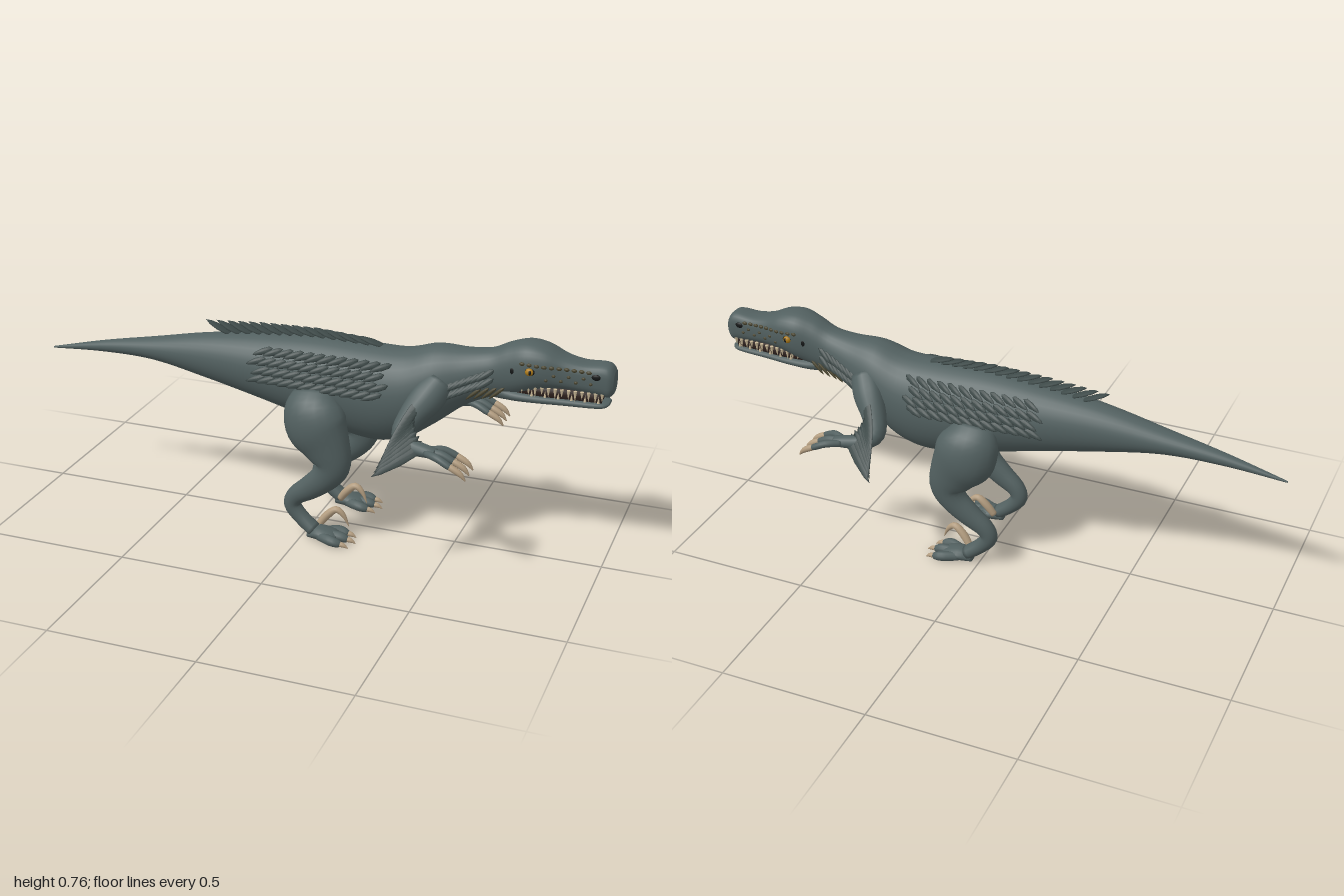
import * as THREE from 'three';
import { mergeGeometries } from 'three/addons/utils/BufferGeometryUtils.js';

const mat = (name, color, side = THREE.FrontSide) => {
  const m = new THREE.MeshStandardMaterial({ color, side });
  m.name = name;
  return m;
};
const V = (x, y, z) => new THREE.Vector3(x, y, z);

// Catmull-Rom subdivision of rows of numbers
function smoothRows(rows, steps) {
  const out = [];
  for (let i = 0; i < rows.length - 1; i++) {
    const at = k => rows[Math.max(0, Math.min(rows.length - 1, k))];
    for (let s = 0; s < steps; s++) {
      const t = s / steps;
      out.push(rows[i].map((b, k) => {
        const a = at(i - 1)[k], c = at(i + 1)[k], d = at(i + 2)[k];
        return b + 0.5 * t * (c - a + t * (2 * a - 5 * b + 4 * c - d + t * (3 * (b - c) + d - a)));
      }));
    }
  }
  out.push(rows[rows.length - 1]);
  return out;
}

// Skin over rows [x, y, z, depth, width, squareness]; upright keeps the rings vertical
function loft(rows, { steps = 4, sides = 16, upright = false } = {}) {
  const rings = smoothRows(rows.map(r => [r[0], r[1], r[2], r[3], r[4] ?? r[3], r[5] ?? 2]), steps);
  const pos = [], idx = [], n = rings.length;
  const c = rings.map(r => V(r[0], r[1], r[2]));
  rings.forEach((r, i) => {
    const t = upright ? V(1, 0, 0) : c[Math.min(n - 1, i + 1)].clone().sub(c[Math.max(0, i - 1)]).normalize();
    const side = V(0, 0, 1).addScaledVector(t, -t.z).normalize();
    const up = side.clone().cross(t);
    for (let j = 0; j < sides; j++) {
      const a = j / sides * Math.PI * 2;
      const pw = v => Math.sign(v) * Math.abs(v) ** (2 / r[5]);
      const p = c[i].clone().addScaledVector(up, r[3] * pw(Math.sin(a))).addScaledVector(side, r[4] * pw(Math.cos(a)));
      pos.push(p.x, p.y, p.z);
      if (i < n - 1) {
        const k = (j + 1) % sides, A = i * sides, B = A + sides;
        idx.push(A + j, B + j, A + k, B + j, B + k, A + k);
      }
    }
  });
  pos.push(...c[0].toArray(), ...c[n - 1].toArray());
  for (let j = 0; j < sides; j++) {
    const k = (j + 1) % sides, L = (n - 1) * sides;
    idx.push(n * sides, j, k, n * sides + 1, L + k, L + j);
  }
  const g = new THREE.BufferGeometry();
  g.setAttribute('position', new THREE.Float32BufferAttribute(pos, 3));
  g.setIndex(idx);
  g.computeVertexNormals();
  return g;
}

// Flat tapering leaf from base to tip, its face turned toward normal
function feather(base, tip, width, normal, thick = 0.004) {
  const g = new THREE.SphereGeometry(1, 8, 6);
  const d = tip.clone().sub(base), len = d.length();
  const p = g.attributes.position;
  for (let i = 0; i < p.count; i++) p.setZ(i, p.getZ(i) * (1 - 0.35 * p.getX(i)));
  g.scale(len / 2, thick, width / 2);
  g.computeVertexNormals();
  const x = d.normalize(), z = x.clone().cross(normal).normalize(), y = z.clone().cross(x);
  g.applyMatrix4(new THREE.Matrix4().makeBasis(x, y, z).setPosition(base.clone().add(tip).multiplyScalar(0.5)));
  return g;
}

function ball(x, y, z, rx, ry, rz) {
  return new THREE.SphereGeometry(1, 12, 8).scale(rx, ry, rz).translate(x, y, z);
}

// Trunk stations: x, top, bottom, half width, squareness
const TRUNK = [
  [-1, 0.503, 0.497, 0.003, 2], [-0.8, 0.552, 0.512, 0.022, 2], [-0.6, 0.592, 0.511, 0.045, 2],
  [-0.4, 0.633, 0.475, 0.07, 2], [-0.2, 0.66, 0.432, 0.096, 2], [0, 0.678, 0.385, 0.118, 2],
  [0.2, 0.676, 0.345, 0.126, 2], [0.32, 0.678, 0.365, 0.122, 2], [0.42, 0.705, 0.43, 0.108, 2],
  [0.52, 0.706, 0.51, 0.08, 2], [0.6, 0.716, 0.55, 0.064, 2.1], [0.66, 0.744, 0.567, 0.066, 2.2],
  [0.72, 0.76, 0.59, 0.075, 2.4], [0.78, 0.752, 0.61, 0.071, 2.5], [0.84, 0.725, 0.618, 0.057, 2.8],
  [0.9, 0.713, 0.617, 0.05, 3], [0.96, 0.716, 0.612, 0.047, 3], [0.985, 0.71, 0.608, 0.044, 3],
  [0.999, 0.692, 0.622, 0.034, 2.6]];
const upright = rows => rows.map(([x, t, b, w, e]) => [x, (t + b) / 2, 0, (t - b) / 2, w, e]);

// Point on the trunk's side at a given x and y
function onTrunk(x, y, s) {
  let i = 0;
  while (i < TRUNK.length - 2 && TRUNK[i + 1][0] < x) i++;
  const a = TRUNK[i], b = TRUNK[i + 1], f = (x - a[0]) / (b[0] - a[0]);
  const [, t, bo, w, e] = a.map((v, k) => v + (b[k] - v) * f);
  const u = Math.min(1, Math.abs(2 * y - t - bo) / (t - bo));
  return V(x, y, s * w * (1 - u ** e) ** (1 / e));
}
const trunkTop = x => {
  const i = Math.max(1, TRUNK.findIndex(r => r[0] > x)), a = TRUNK[i - 1], b = TRUNK[i];
  return a[1] + (b[1] - a[1]) * (x - a[0]) / (b[0] - a[0]);
};

export function createModel() {
  const group = new THREE.Group();
  const skin = mat('slate skin', 0x526060);
  const plume = mat('dark plumage', 0x3e4a49, THREE.DoubleSide);
  const olive = mat('olive scales', 0x4a452f);
  const horn = mat('tan horn', 0xb39d80);
  const ivory = mat('ivory teeth', 0xc9b897);
  const amber = mat('amber eye', 0xb07d1a);
  const black = mat('black', 0x141616);
  const mouth = mat('mouth lining', 0x2e211d);
  const add = (name, geo, material) => {
    const m = new THREE.Mesh(Array.isArray(geo) ? mergeGeometries(geo) : geo, material);
    m.name = name;
    group.add(m);
  };

  add('body', loft(upright(TRUNK), { steps: 5, sides: 32, upright: true }), skin);
  add('lowerJaw', loft(upright([[0.62, 0.62, 0.553, 0.045, 2], [0.68, 0.602, 0.558, 0.058, 2.4],
    [0.76, 0.597, 0.562, 0.058, 2.6], [0.85, 0.595, 0.565, 0.05, 2.6], [0.94, 0.594, 0.568, 0.045, 2.6],
    [0.975, 0.593, 0.572, 0.038, 2.4], [0.988, 0.59, 0.58, 0.022, 2]]), { sides: 20, upright: true }), skin);
  add('mouthLining', loft(upright([[0.66, 0.63, 0.58, 0.045, 3], [0.78, 0.63, 0.58, 0.048, 3],
    [0.88, 0.63, 0.58, 0.039, 3], [0.965, 0.625, 0.58, 0.034, 3]]), { upright: true }), mouth);

  // Feathers along the spine
  const spine = [];
  for (let i = 0; i < 15; i++) {
    const x = 0.24 - i * 0.039, lift = 0.018 + i * 0.0022;
    spine.push(feather(V(x, trunkTop(x) - 0.006, 0), V(x - 0.095, trunkTop(x - 0.09) + lift, 0), 0.042, V(0, 1, 0), 0.006));
  }
  add('spineFeathers', spine, plume);

  for (const s of [1, -1]) {
    const side = s > 0 ? 'left' : 'right';

    // Flank feathers in staggered rows
    const flank = [];
    for (let r = 0; r < 4; r++) for (let i = 0; i < 12; i++) {
      const x = 0.29 - i * 0.038 - (r % 2) * 0.018, y = 0.643 - r * 0.03 - Math.max(0, -x) * 0.04;
      const tip = onTrunk(x - 0.066, y - 0.022, s);
      tip.z += s * 0.016;
      flank.push(feather(onTrunk(x, y, s), tip, 0.022, V(0, 0.4, s), 0.005));
    }
    add(side + 'FlankFeathers', flank, plume);

    // Neck ruff and throat quills
    const ruff = [], quills = [];
    for (let i = 0; i < 8; i++) {
      for (let r = 0; r < 2; r++) {
        const b = onTrunk(0.625 - i * 0.02, 0.667 - i * 0.009 - r * 0.028, s);
        ruff.push(feather(b, V(b.x - 0.055, b.y - 0.04, b.z + s * 0.022), 0.02, V(0, 0.3, s), 0.005));
      }
      if (i < 4) {
        const q = onTrunk(0.66 - i * 0.025, 0.61 - i * 0.004, s);
        quills.push(feather(q, V(q.x - 0.05, q.y - 0.045, q.z + s * 0.004), 0.012, V(0, 0, s)));
      }
    }
    add(side + 'NeckFeathers', ruff, plume);
    add(side + 'ThroatQuills', quills, olive);

    // Leg, foot and toes
    add(side + 'Leg', loft([[0.03, 0.52, 0.1, 0.07, 0.04], [0.035, 0.47, 0.125, 0.1, 0.066],
      [0.055, 0.41, 0.138, 0.108, 0.07], [0.09, 0.35, 0.143, 0.085, 0.056], [0.112, 0.29, 0.145, 0.064, 0.045],
      [0.09, 0.24, 0.143, 0.05, 0.04], [0.035, 0.19, 0.14, 0.042, 0.034], [-0.02, 0.148, 0.137, 0.033, 0.029],
      [-0.034, 0.11, 0.135, 0.03, 0.027], [-0.005, 0.07, 0.135, 0.026, 0.026], [0.045, 0.03, 0.138, 0.024, 0.03]]
      .map(p => (p[2] *= s, p)), { sides: 20 }), skin);
    const foot = [loft([[0.025, 0.015, 0.138 * s, 0.013, 0.022], [0.06, 0.024, 0.138 * s, 0.023, 0.036],
      [0.11, 0.02, 0.139 * s, 0.019, 0.042], [0.13, 0.015, 0.139 * s, 0.012, 0.034]], { upright: true })];
    const toeClaws = [];
    for (const k of [-1, 0, 1]) {
      const z = (0.14 + k * 0.042) * s, reach = k ? 0 : 0.012;
      foot.push(loft([[0.07, 0.02, (0.139 + k * 0.02) * s, 0.016], [0.12 + reach, 0.021, z, 0.017],
        [0.148 + reach, 0.015, z, 0.013], [0.155 + reach, 0.013, z, 0.007]], { sides: 12 }));
      toeClaws.push(loft([[0.142 + reach, 0.016, z, 0.01], [0.165 + reach, 0.013, z, 0.008],
        [0.182 + reach, 0.004, z, 0.001]], { sides: 10 }));
    }
    add(side + 'Foot', foot, skin);
    add(side + 'ToeClaws', toeClaws, horn);
    add(side + 'SickleClaw', loft([[0.05, 0.035, 0.106, 0.012], [0.075, 0.07, 0.1, 0.014], [0.108, 0.097, 0.097, 0.012],
      [0.135, 0.078, 0.095, 0.008], [0.153, 0.04, 0.093, 0.001]].map(p => (p[2] *= s, p)), { sides: 12 }), horn);

    // Arm, fingers and claws
    const arm = [loft([[0.45, 0.6, 0.065, 0.05, 0.045], [0.42, 0.555, 0.105, 0.055, 0.045], [0.38, 0.5, 0.145, 0.043, 0.04],
      [0.36, 0.452, 0.18, 0.033, 0.033], [0.4, 0.428, 0.205, 0.027, 0.028], [0.46, 0.426, 0.225, 0.02, 0.025],
      [0.49, 0.424, 0.229, 0.015, 0.026]].map(p => (p[2] *= s, p)))];
    const claws = [];
    for (const k of [-1, 0, 1]) {
      const z = (0.23 + k * 0.044) * s;
      arm.push(loft([[0.46, 0.426, (0.228 + k * 0.012) * s, 0.012], [0.505, 0.427, (0.23 + k * 0.036) * s, 0.012],
        [0.545, 0.41, z, 0.011], [0.553, 0.406, z, 0.006]], { sides: 12 }));
      claws.push(loft([[0.538, 0.413, z, 0.009], [0.56, 0.403, z, 0.011], [0.585, 0.388, z, 0.009],
        [0.602, 0.368, z, 0.002]], { sides: 10 }));
    }
    add(side + 'Arm', arm, skin);
    add(side + 'FingerClaws', claws, horn);

    // Wing fan, longest at the wrist
    const fan = [];
    for (let i = 0; i < 13; i++) {
      const t = i / 12, bend = Math.sin(t * Math.PI) * 0.04;
      fan.push(feather(V(0.43 - bend + 0.02 * t, 0.585 - 0.145 * t, (0.125 + 0.09 * t) * s),
        V(0.36 - 0.05 * t, 0.49 - 0.132 * t, (0.205 + 0.125 * t) * s), 0.034, V(0.3, 0.6, 0.7 * s)));
    }
    add(side + 'ArmFeathers', fan, plume);

    // Teeth in both jaws
    const teeth = [];
    for (let i = 0; i < 13; i++) {
      const x = 0.715 + i * 0.021, z = s * (0.054 - i * 0.0014), h = 0.026 + (i % 3) * 0.005;
      teeth.push(new THREE.ConeGeometry(0.0065, h, 6).rotateX(Math.PI).translate(x, 0.624 - h / 2, z));
      if (i % 2) teeth.push(new THREE.ConeGeometry(0.005, 0.022, 6).translate(x + 0.01, 0.602, z * 0.93));
    }
    add(side + 'Teeth', teeth, ivory);

    // Eye, pupil, ear, nostril and brow scales
    add(side + 'Eye', ball(0.74, 0.68, 0.073 * s, 0.014, 0.013, 0.011), amber);
    add(side + 'Pupil', ball(0.743, 0.68, 0.081 * s, 0.005, 0.008, 0.004), black);
    add(side + 'EarAndNostril', [ball(0.685, 0.672, 0.066 * s, 0.009, 0.014, 0.005),
      ball(0.945, 0.68, 0.046 * s, 0.015, 0.01, 0.005), ball(0.74, 0.68, 0.07 * s, 0.021, 0.016, 0.007)], black);
    const scales = [];
    for (let i = 0; i < 10; i++) {
      const x = 0.715 + i * 0.023, p = onTrunk(x, 0.703 - i * 0.0012, s);
      scales.push(ball(p.x, p.y, p.z, 0.009, 0.006, 0.005));
      if (i > 2) {
        const q = onTrunk(x + 0.008, 0.672 - (i % 2) * 0.016, s);
        scales.push(ball(q.x, q.y, q.z, 0.006, 0.005, 0.004));
      }
    }
    add(side + 'BrowScales', scales, olive);
  }
  return group;
}
